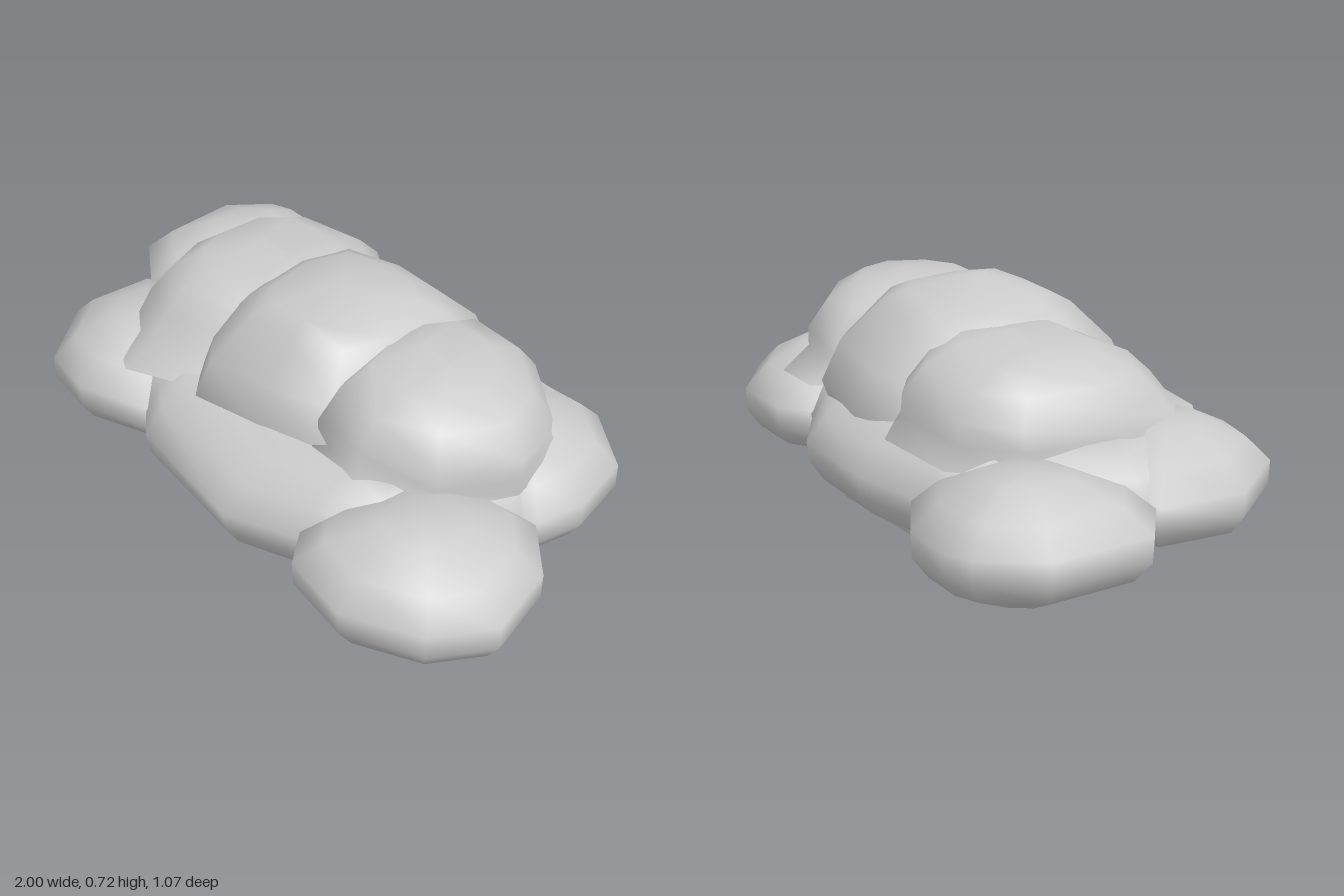
import * as THREE from 'three';
import { mergeVertices } from 'three/addons/utils/BufferGeometryUtils.js';

const material = new THREE.MeshStandardMaterial({ color: 0xcccccc });

// Soft puff: an outline [x, z] shrunk towards a spine along x, in rings from top to bottom.
// Each ring is [scale, y, depthScale, shiftZ]; tilt leans the rings along x.
function puff(name, outline, rings, { x0, x1 = x0, z = 0, tilt = 0 }) {
  const n = outline.length, pos = [], index = [];
  for (const [s, y, sz = s, dz = 0] of rings) {
    for (const [px, pz] of outline) {
      const sx = THREE.MathUtils.clamp(px, x0, x1);
      const x = sx + (px - sx) * s;
      pos.push(x, y + tilt * (x - (x0 + x1) / 2), z + dz + (pz - z) * sz);
    }
  }
  for (let r = 0; r < rings.length - 1; r++) {
    for (let j = 0; j < n; j++) {
      const a = r * n + j, b = r * n + (j + 1) % n;
      index.push(a, b, a + n, b, b + n, a + n);
    }
  }
  let geo = new THREE.BufferGeometry();
  geo.setAttribute('position', new THREE.Float32BufferAttribute(pos, 3));
  geo.setIndex(index);
  geo = mergeVertices(geo, 1e-4);
  geo.computeVertexNormals();
  const mesh = new THREE.Mesh(geo, material);
  mesh.name = name;
  return mesh;
}

export function createModel() {
  const cloud = new THREE.Group();
  cloud.name = 'cloud';

  // Broad centre of the base layer
  cloud.add(puff('baseCentre', [
    [-0.78, 0.06], [-0.62, -0.35], [-0.46, -0.43], [-0.25, -0.5], [0.04, -0.53], [0.23, -0.44],
    [0.52, -0.38], [0.74, -0.07], [0.62, 0.35], [0.44, 0.43], [0.24, 0.53], [-0.17, 0.5],
    [-0.26, 0.44], [-0.6, 0.35],
  ], [[0, 0.44], [0.6, 0.437], [0.74, 0.422], [0.89, 0.378], [1, 0.31], [0.98, 0.25], [0.91, 0.195], [0.66, 0.127], [0, 0.125]],
  { x0: -0.4, x1: 0.4 }));

  // Four rounded lobes at the corners of the base
  const lobeRings = [[0, 0.447], [0.37, 0.44], [0.76, 0.385], [1, 0.318], [0.99, 0.25], [0.85, 0.195], [0.33, 0.123], [0, 0.118]];
  cloud.add(puff('backRightLobe', [
    [-1, -0.32], [-0.9, -0.48], [-0.82, -0.52], [-0.66, -0.53], [-0.46, -0.44], [-0.4, -0.2],
    [-0.55, 0], [-0.8, 0.07], [-0.965, -0.03],
  ], lobeRings, { x0: -0.72, z: -0.25, tilt: -0.04 }));
  cloud.add(puff('backLeftLobe', [
    [0.22, -0.4], [0.32, -0.51], [0.52, -0.535], [0.72, -0.42], [0.785, -0.23], [0.77, -0.09],
    [0.6, 0.02], [0.3, -0.08],
  ], lobeRings, { x0: 0.51, z: -0.25 }));
  cloud.add(puff('frontLeftLobe', [
    [0.42, 0.15], [0.55, -0.04], [0.77, -0.08], [0.92, 0.03], [1, 0.24], [0.92, 0.41],
    [0.73, 0.53], [0.52, 0.515], [0.44, 0.43],
  ], lobeRings, { x0: 0.71, z: 0.24, tilt: -0.05 }));
  cloud.add(puff('frontRightLobe', [
    [-0.8, 0.33], [-0.8, 0.08], [-0.6, -0.02], [-0.35, 0.05], [-0.25, 0.25], [-0.26, 0.44],
    [-0.46, 0.53], [-0.63, 0.515],
  ], lobeRings, { x0: -0.52, z: 0.26 }));

  // Tall middle puff
  cloud.add(puff('middlePuff', [
    [-0.36, -0.1], [-0.3, -0.35], [-0.05, -0.43], [0.2, -0.42], [0.33, -0.32], [0.38, 0],
    [0.34, 0.25], [0.12, 0.33], [-0.11, 0.38], [-0.27, 0.25],
  ], [[0, 0.725], [0.5, 0.675, 0.45], [0.66, 0.645, 0.59], [0.88, 0.53], [1, 0.415], [0.95, 0.35]],
  { x0: 0.04, z: -0.01, tilt: 0.06 }));

  // Smaller side puffs, flaring front and back into the base
  cloud.add(puff('leftPuff', [
    [0.12, -0.1], [0.24, -0.36], [0.43, -0.37], [0.63, -0.25], [0.715, -0.07], [0.63, 0.14],
    [0.45, 0.25], [0.28, 0.25],
  ], [[0, 0.652], [0.5, 0.638], [0.8, 0.59], [1, 0.51], [1, 0.45], [0.97, 0.39, 1.25]],
  { x0: 0.34, x1: 0.44, z: -0.05, tilt: -0.04 }));

  cloud.add(puff('rightPuff', [
    [-0.61, -0.2], [-0.5, -0.33], [-0.26, -0.375], [-0.1, -0.28], [-0.05, 0], [-0.14, 0.22],
    [-0.36, 0.3], [-0.52, 0.24], [-0.6, 0.08],
  ], [[0, 0.64], [0.5, 0.63], [0.8, 0.585], [1, 0.52], [1, 0.46, 1.08, 0.02], [1.02, 0.4, 1.28, 0.04]],
  { x0: -0.38, x1: -0.24, z: -0.05, tilt: 0.06 }));

  // Hanging belly, pointed along its lowest edge
  cloud.add(puff('belly', [
    [-0.33, -0.15], [-0.24, -0.34], [0.03, -0.42], [0.32, -0.38], [0.46, -0.14], [0.46, 0.14],
    [0.3, 0.34], [0.04, 0.38], [-0.22, 0.33], [-0.33, 0.14],
  ], [[0.95, 0.28], [1, 0.145], [0.55, 0.075, 0.7], [0.1, 0.017, 0.4], [0, 0.014]],
  { x0: 0.02, x1: 0.25, tilt: 0.1 }));

  return cloud;
}
